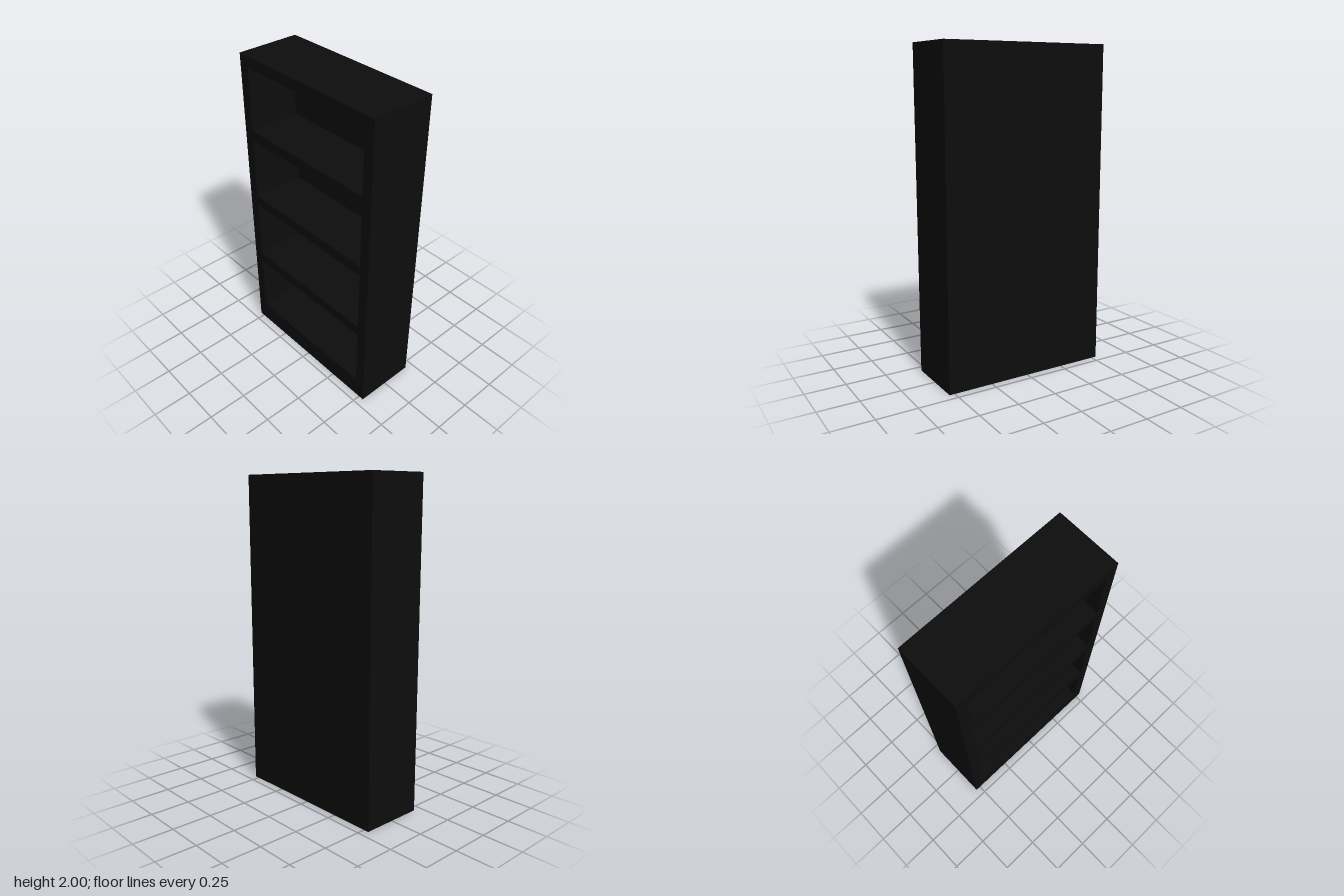
import * as THREE from 'three';

// Overall size and board thickness
const U = 1 / 75;
const W = 80 * U, H = 150 * U, D = 30 * U, T = 5 * U;

export function createModel() {
  const group = new THREE.Group();
  group.name = 'bookcase';
  const black = new THREE.MeshStandardMaterial({ color: 0x0d0d0d });
  black.name = 'black';

  const board = (name, w, h, d, x, y, z) => {
    const mesh = new THREE.Mesh(new THREE.BoxGeometry(w, h, d), black);
    mesh.name = name;
    mesh.position.set(x, y, z);
    group.add(mesh);
  };

  const innerW = W - 2 * T, innerD = D - T, innerZ = T / 2;

  // Side panels
  board('leftSide', T, H, D, (W - T) / 2, H / 2, 0);
  board('rightSide', T, H, D, -(W - T) / 2, H / 2, 0);

  // Back panel between the sides
  board('backPanel', innerW, H, T, 0, H / 2, -(D - T) / 2);

  // Top board and solid plinth, whose top is the lowest shelf
  board('topBoard', innerW, T, innerD, 0, H - T / 2, innerZ);
  board('plinth', innerW, 2 * T, innerD, 0, T, innerZ);

  // Three shelves, making four equal bays
  const bay = 30 * U;
  for (let i = 1; i <= 3; i++) {
    const top = 2 * T + i * (bay + T);
    board('shelf' + i, innerW, T, innerD, 0, top - T / 2, innerZ);
  }
  return group;
}
